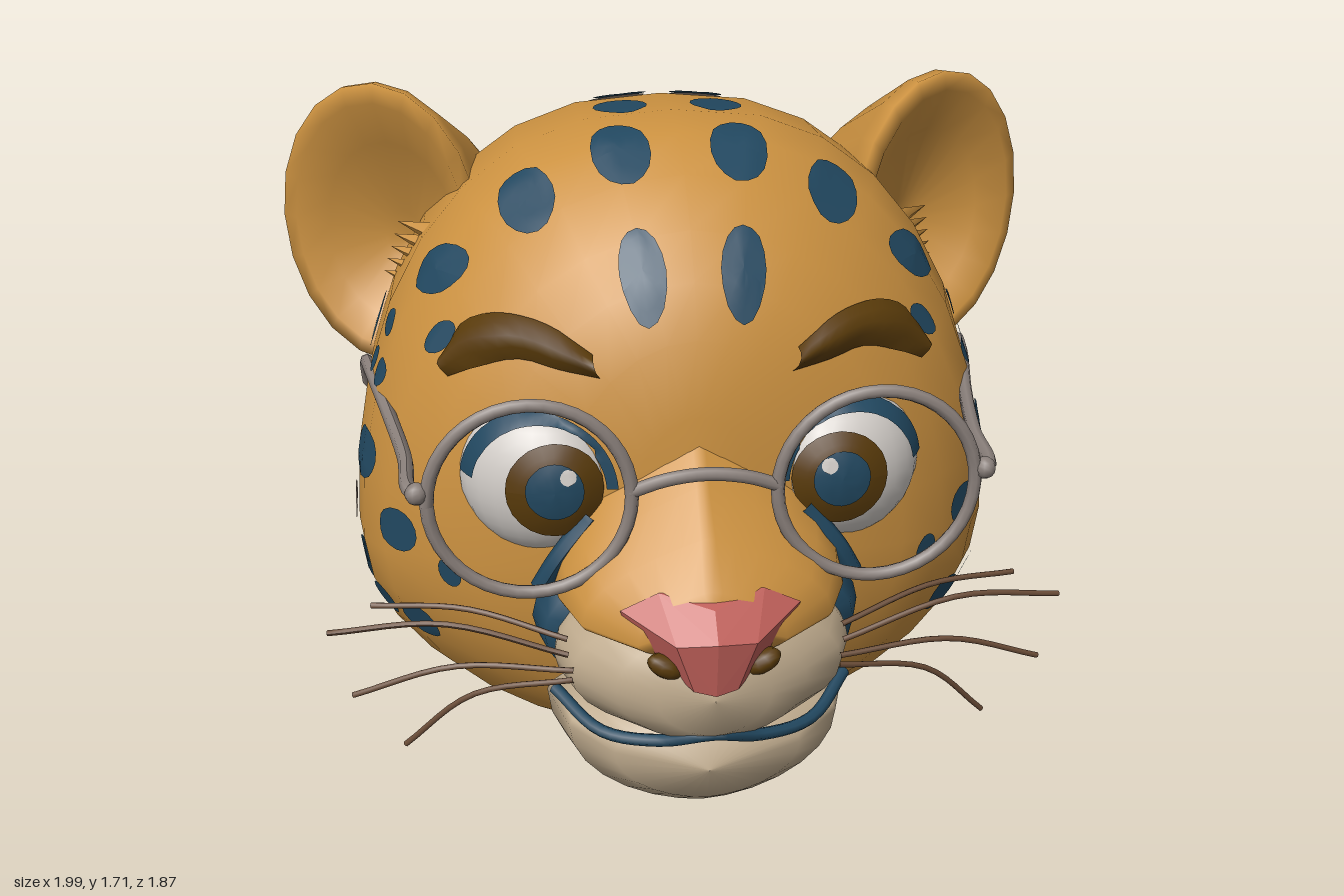
import * as THREE from 'three';
import { ConvexGeometry } from 'three/addons/geometries/ConvexGeometry.js';

const mat = (name, color, side = THREE.FrontSide) => {
  const m = new THREE.MeshStandardMaterial({ color, side });
  m.name = name;
  return m;
};
const V = (x, y, z) => new THREE.Vector3(x, y, z);

// Skin through rings of points; all rings have the same count
function skin(rings) {
  const n = rings[0].length, index = [];
  for (let i = 0; i < rings.length - 1; i++) {
    for (let j = 0; j < n; j++) {
      const k = (j + 1) % n, a = i * n, b = a + n;
      index.push(a + j, a + k, b + k, a + j, b + k, b + j);
    }
  }
  const geo = new THREE.BufferGeometry().setFromPoints(rings.flat());
  geo.setIndex(index);
  geo.computeVertexNormals();
  return geo;
}

// Loft along z from sections [z, half width, top, bottom, height of widest point, upper pinch]
function loft(sections, n = 28) {
  return skin(sections.map(([z, w, top, bot, mid, pinch = 1]) => Array.from({ length: n }, (_, j) => {
    const a = (j / n) * Math.PI * 2, s = Math.sin(a), c = Math.cos(a);
    const x = w * Math.sign(c) * Math.abs(c) ** (s > 0 ? pinch : 1.15);
    return V(x, mid + s * (s > 0 ? top - mid : mid - bot), z);
  })));
}

// Mirror an indexed geometry to the other side
function mirrored(geo) {
  const g = geo.clone().scale(-1, 1, 1), ix = g.index.array;
  for (let i = 0; i < ix.length; i += 3) [ix[i], ix[i + 1]] = [ix[i + 1], ix[i]];
  g.computeVertexNormals();
  return g;
}

// Thin patch projected onto meshes; fn(u, v) gives a 2D point seen along the axis
const AXES = {
  side: (a, b) => [V(3, b, a), V(-1, 0, 0)],
  top: (a, b) => [V(a, 4, b), V(0, -1, 0)],
  front: (a, b) => [V(a, b, 3), V(0, 0, -1)],
};
function decal(targets, axis, fn, nu, nv, lift) {
  const ray = new THREE.Raycaster(), points = [], ok = [], index = [];
  for (let i = 0; i <= nv; i++) {
    for (let j = 0; j <= nu; j++) {
      ray.set(...AXES[axis](...fn(j / nu, i / nv)));
      const hit = ray.intersectObjects(targets, false)[0];
      ok.push(!!hit);
      points.push(hit ? hit.point.clone().addScaledVector(hit.face.normal, lift(i / nv)) : V(0, 0.8, 0));
    }
  }
  const tri = (...t) => { if (t.every((k) => ok[k])) index.push(...t); };
  for (let i = 0; i < nv; i++) {
    for (let j = 0; j < nu; j++) {
      const a = i * (nu + 1) + j, b = a + nu + 1;
      tri(a, a + 1, b + 1);
      tri(a, b + 1, b);
    }
  }
  const geo = new THREE.BufferGeometry().setFromPoints(points);
  geo.setIndex(index);
  geo.computeVertexNormals();
  return geo;
}
const oval = (a, b, ra, rb, rot = 0) => (u, v) => {
  const t = u * Math.PI * 2, p = v * ra * Math.cos(t), q = v * rb * Math.sin(t);
  return [a + p * Math.cos(rot) - q * Math.sin(rot), b + p * Math.sin(rot) + q * Math.cos(rot)];
};
const tube = (pts, r, seg = 16) =>
  new THREE.TubeGeometry(new THREE.CatmullRomCurve3(pts.map((p) => V(...p))), seg, r, 7);

export function createModel() {
  const group = new THREE.Group();
  const fur = mat('orange fur', 0xcb9140);
  const teal = mat('dark teal', 0x21475f, THREE.DoubleSide);
  const taupe = mat('taupe', 0x968679, THREE.DoubleSide);
  const cream = mat('cream', 0xbda98c);
  const pink = mat('nose pink', 0xc0605a);
  const white = mat('eye white', 0xd2cdc8, THREE.DoubleSide);
  const brown = mat('dark brown', 0x583a0a, THREE.DoubleSide);
  const metal = mat('spectacle metal', 0x8a807b);
  const hair = mat('whisker brown', 0x6b4d38);

  const add = (name, geo, m) => {
    const mesh = new THREE.Mesh(geo, m);
    mesh.name = name;
    group.add(mesh);
    return mesh;
  };
  const pair = (name, geo, m) => {
    add(name + 'Right', mirrored(geo), m);
    return add(name + 'Left', geo, m);
  };

  // Skull, broad across the crown and tapering to the jaw
  const head = add('head', loft([
    [-0.935, 0.001, 0.831, 0.829, 0.83], [-0.92, 0.17, 1.0, 0.64, 0.82], [-0.85, 0.42, 1.25, 0.45, 0.8, 0.95],
    [-0.7, 0.63, 1.46, 0.25, 0.76, 0.9], [-0.5, 0.755, 1.59, 0.1, 0.71, 0.85], [-0.25, 0.82, 1.655, 0.03, 0.64, 0.8],
    [0, 0.83, 1.665, 0, 0.6, 0.8], [0.15, 0.81, 1.64, 0.01, 0.61, 0.9], [0.28, 0.75, 1.57, 0.06, 0.63],
    [0.4, 0.64, 1.47, 0.13, 0.67], [0.48, 0.52, 1.37, 0.22, 0.68], [0.54, 0.36, 1.25, 0.35, 0.7],
    [0.58, 0.18, 1.08, 0.5, 0.74], [0.59, 0.001, 0.801, 0.799, 0.8],
  ], 32), fur);

  // Cupped ears: outer shell, rim, hollow; [cx, cy, cz, rx, ry, tilt]
  pair('ear', skin([
    [0.48, 1.15, -0.48, 0.03, 0.05, 0], [0.56, 1.18, -0.46, 0.23, 0.28, 0.2], [0.66, 1.25, -0.39, 0.265, 0.345, 0.27],
    [0.73, 1.335, -0.25, 0.265, 0.365, 0.5], [0.735, 1.34, -0.17, 0.26, 0.372, 0.6],
    [0.735, 1.34, -0.15, 0.225, 0.325, 0.6], [0.71, 1.31, -0.22, 0.17, 0.24, 0.5],
    [0.68, 1.28, -0.28, 0.05, 0.07, 0.4], [0.67, 1.27, -0.285, 0.001, 0.001, 0.4],
  ].map(([cx, cy, cz, rx, ry, t]) => Array.from({ length: 20 }, (_, j) => {
    const a = (j / 20) * Math.PI * 2, dx = rx * Math.cos(a);
    return V(cx + dx, cy + ry * Math.sin(a), cz - t * dx);
  }))), fur);
  for (let i = 0; i < 5; i++) {
    pair('earTuft', new THREE.ConeGeometry(0.035, 0.14, 5).rotateZ(-1.45).rotateY(0.6)
      .translate(0.68 - i * 0.012, 1.2 + i * 0.04, -0.18 + i * 0.025), fur);
  }

  // Nose bridge flaring over the muzzle, dark collar, muzzle, chin
  add('noseBridge', loft([
    [0.42, 0.36, 1.13, 0.6, 0.68, 1.6], [0.55, 0.35, 1.04, 0.6, 0.68, 2.1], [0.65, 0.335, 0.94, 0.6, 0.67, 2.1],
    [0.75, 0.29, 0.855, 0.6, 0.65, 1.9], [0.84, 0.17, 0.765, 0.6, 0.64, 1.4], [0.86, 0.001, 0.701, 0.699, 0.7],
  ], 28), fur);
  add('muzzleCollar', loft([
    [0.4, 0.37, 0.7, 0.4, 0.56], [0.54, 0.395, 0.76, 0.37, 0.57], [0.62, 0.37, 0.75, 0.35, 0.56],
    [0.63, 0.3, 0.68, 0.4, 0.56],
  ]), teal);
  add('muzzle', loft([
    [0.6, 0.34, 0.72, 0.38, 0.55], [0.66, 0.35, 0.71, 0.36, 0.53], [0.75, 0.315, 0.69, 0.355, 0.52],
    [0.83, 0.22, 0.66, 0.375, 0.52], [0.88, 0.13, 0.62, 0.42, 0.52], [0.9, 0.001, 0.521, 0.519, 0.52],
  ]), cream);
  add('chin', loft([
    [0.24, 0.12, 0.15, 0.05, 0.1], [0.36, 0.3, 0.36, 0.05, 0.22], [0.55, 0.365, 0.46, 0.075, 0.37],
    [0.69, 0.32, 0.42, 0.12, 0.35], [0.77, 0.22, 0.39, 0.18, 0.32], [0.81, 0.001, 0.281, 0.279, 0.28],
  ]), cream);
  add('mouthLine', tube([[-0.35, 0.42, 0.63], [-0.25, 0.37, 0.75], [-0.12, 0.375, 0.815], [0, 0.415, 0.865],
    [0.12, 0.375, 0.815], [0.25, 0.37, 0.75], [0.35, 0.42, 0.63]], 0.015, 32), teal);
  pair('tearStripe', tube([[0.375, 0.66, 0.575], [0.33, 0.74, 0.585], [0.25, 0.84, 0.575]], 0.025), teal);

  // Nose
  const nose = [[0, 0.735, 0.87], [0, 0.68, 0.93], [0, 0.54, 0.91], [0, 0.6, 0.75]];
  for (const s of [-1, 1]) {
    nose.push([s * 0.205, 0.71, 0.8], [s * 0.12, 0.755, 0.81], [s * 0.09, 0.67, 0.91],
      [s * 0.05, 0.55, 0.9], [s * 0.19, 0.655, 0.79]);
  }
  add('nose', new ConvexGeometry(nose.map((p) => V(...p))), pink);
  pair('nostril', new THREE.SphereGeometry(1, 10, 8).scale(0.045, 0.026, 0.03).rotateZ(0.5)
    .translate(0.11, 0.6, 0.866), brown);

  // Eyes
  const eye = pair('eyeball', new THREE.SphereGeometry(1, 24, 18).scale(0.19, 0.185, 0.13).rotateY(0.45)
    .translate(0.375, 0.9, 0.46), white);
  const disc = (r, x, y, lift) => decal([eye], 'front', oval(x, y, r, r), 24, 4, () => lift);
  pair('iris', disc(0.112, 0.335, 0.91, 0.004), brown);
  pair('pupil', disc(0.066, 0.335, 0.915, 0.007), teal);
  pair('eyeHighlight', disc(0.018, 0.305, 0.95, 0.0095), white);
  pair('upperLid', decal([eye, head], 'front', (u, v) => {
    const a = 0.15 + u * 2.95, r = 0.153 + 0.027 * v;
    return [0.365 + r * Math.cos(a), 0.9 + r * Math.sin(a)];
  }, 28, 2, () => 0.009), teal);

  // Raised eyebrows
  const line = (pts) => new THREE.CatmullRomCurve3(pts.map(([x, y]) => V(x, y, 0)));
  const low = line([[0.22, 1.165], [0.3, 1.175], [0.4, 1.19], [0.5, 1.155], [0.565, 1.12]]);
  const high = line([[0.235, 1.215], [0.32, 1.265], [0.42, 1.28], [0.52, 1.245], [0.575, 1.16]]);
  pair('eyebrow', decal([head], 'front', (u, v) => {
    const p = low.getPoint(u).lerp(high.getPoint(u), v);
    return [p.x, p.y];
  }, 14, 4, (v) => 0.008 + 0.03 * Math.sin(Math.PI * v)), brown);

  // Coat spots: [a, b, radius a, radius b, turn]
  const spots = (axis, list, m, lift) => list.forEach((s) =>
    pair('spot', decal([head], axis, oval(...s), 16, 4, () => lift), m));
  spots('side', [
    [0.175, 1.325, 0.075, 0.058], [0.295, 1.195, 0.03, 0.04], [0.09, 1.165, 0.036, 0.034],
    [0.14, 1.055, 0.035, 0.035], [0.055, 1.06, 0.025, 0.034], [-0.17, 1.09, 0.06, 0.075],
    [0.14, 0.845, 0.08, 0.065], [0.32, 0.71, 0.055, 0.055], [0.435, 0.645, 0.018, 0.038],
    [-0.175, 0.695, 0.06, 0.058], [-0.425, 0.7, 0.028, 0.048], [-0.4, 0.845, 0.01, 0.01],
    [0.32, 0.46, 0.04, 0.045], [0.2, 0.465, 0.046, 0.04], [0.025, 0.495, 0.066, 0.055],
  ], teal, 0.009);
  spots('side', [[0, 0.65, 0.05, 0.05]], taupe, 0.009);
  spots('top', [
    [0.1, -0.315, 0.07, 0.07], [0.12, -0.07, 0.065, 0.085, 0.3], [0.14, 0.185, 0.068, 0.105, 0.2],
    [0.365, 0.21, 0.055, 0.095, 0.5], [0.115, 0.45, 0.05, 0.07, 0.4],
  ], teal, 0.0095);
  spots('top', [[0.105, -0.37, 0.072, 0.115, 0.1]], taupe, 0.006);

  // Spectacles
  pair('lensRim', new THREE.TorusGeometry(0.229, 0.016, 8, 40).translate(0.395, 0.94, 0.69), metal);
  add('spectacleBridge', tube([[-0.17, 0.95, 0.69], [-0.09, 0.98, 0.7], [0, 0.99, 0.7], [0.09, 0.98, 0.7],
    [0.17, 0.95, 0.69]], 0.016), metal);
  pair('temple', tube([[0.62, 0.965, 0.69], [0.655, 0.97, 0.68], [0.675, 0.975, 0.5], [0.72, 0.985, 0.25],
    [0.77, 1.01, 0.02], [0.79, 1.0, -0.1], [0.795, 0.96, -0.16], [0.795, 0.9, -0.21]], 0.018, 40), metal);
  pair('hinge', new THREE.SphereGeometry(0.026, 10, 8).translate(0.645, 0.97, 0.69), metal);

  // Whiskers
  [
    [[0.32, 0.57, 0.74], [0.6, 0.64, 0.69], [0.87, 0.6, 0.63]],
    [[0.32, 0.6, 0.72], [0.55, 0.65, 0.64], [0.77, 0.64, 0.58]],
    [[0.31, 0.54, 0.76], [0.58, 0.54, 0.71], [0.82, 0.45, 0.66]],
    [[0.31, 0.51, 0.75], [0.54, 0.44, 0.67], [0.71, 0.27, 0.6]],
  ].forEach((p) => pair('whisker', tube(p, 0.007, 12), hair));

  return group;
}
